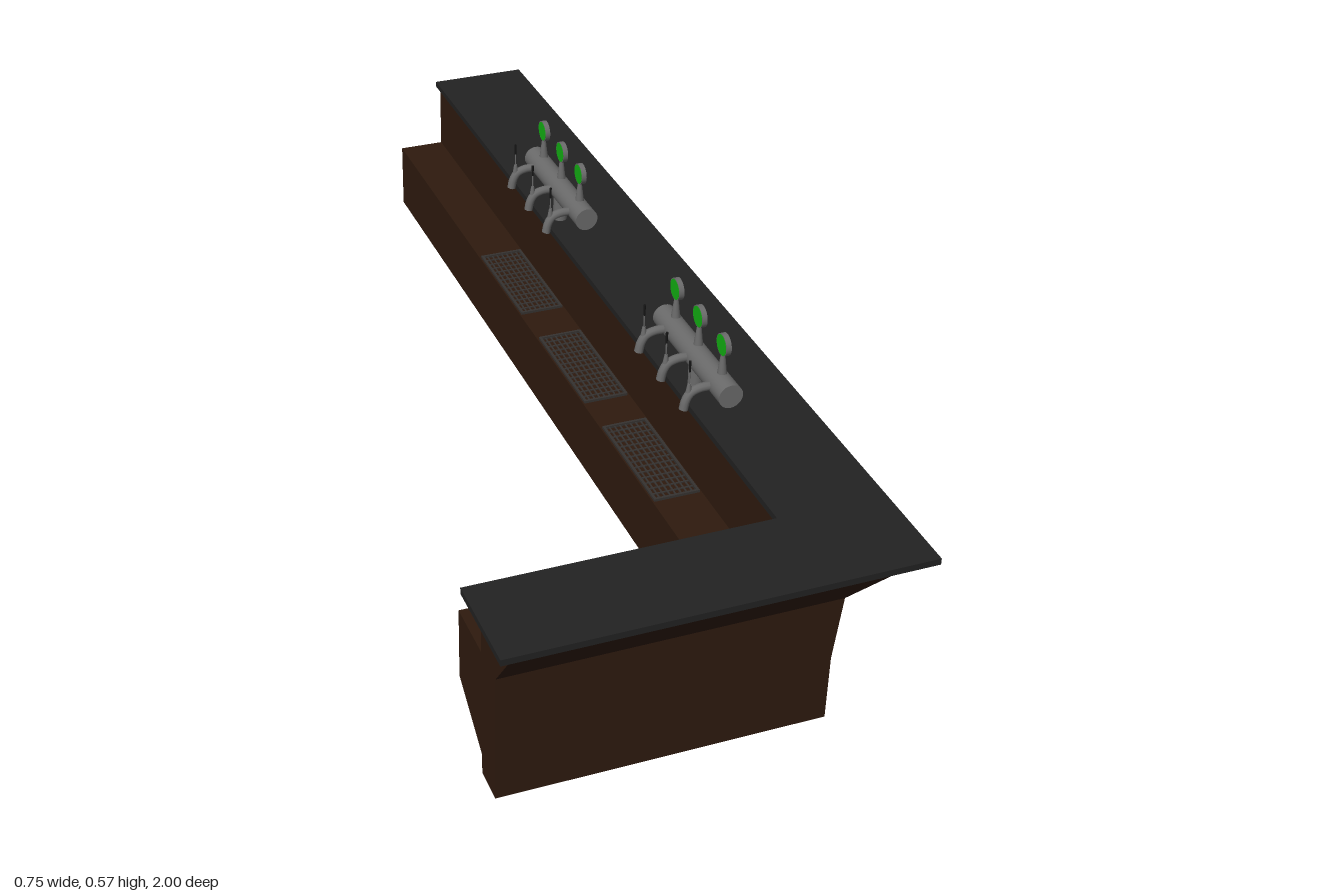
import * as THREE from 'three';

const material = (color, side = THREE.FrontSide) => new THREE.MeshStandardMaterial({ color, side });

function add(parent, name, geometry, mat, x = 0, y = 0, z = 0) {
  const mesh = new THREE.Mesh(geometry, mat);
  mesh.name = name;
  mesh.position.set(x, y, z);
  parent.add(mesh);
  return mesh;
}

// Bar body: one profile swept along an L with a mitred corner.
// Each profile point is [x on the long arm, y, z on the short arm].
function bodyGeometry() {
  const profile = [
    [0.262, 0, 0.876], [0.263, 0.13, 0.877], [0.277, 0.258, 0.88], [0.362, 0.388, 0.98],
    [0.175, 0.388, 0.81], [0.175, 0.26, 0.81], [0.08, 0.26, 0.695], [0.08, 0.12, 0.695],
    [0.175, 0.04, 0.81], [0.175, 0, 0.81],
  ];
  const stations = [
    profile.map(([x, y]) => [x, y, -0.97]),
    profile.map(([x, y, z]) => [x, y, z]),
    profile.map(([, y, z]) => [-0.343, y, z]),
  ];
  const pos = [];
  for (let s = 0; s < 2; s++) {
    profile.forEach((_, i) => {
      const j = (i + 1) % profile.length;
      const a = stations[s][i], b = stations[s][j], c = stations[s + 1][j], d = stations[s + 1][i];
      pos.push(...a, ...b, ...c, ...a, ...c, ...d);
    });
  }
  // End caps
  const outline = profile.map(([x, y]) => new THREE.Vector2(x, y));
  for (const [a, b, c] of THREE.ShapeUtils.triangulateShape(outline, [])) {
    pos.push(...stations[0][c], ...stations[0][b], ...stations[0][a]);
    pos.push(...stations[2][a], ...stations[2][b], ...stations[2][c]);
  }
  const geometry = new THREE.BufferGeometry();
  geometry.setAttribute('position', new THREE.Float32BufferAttribute(pos, 3));
  geometry.computeVertexNormals();
  return geometry;
}

function countertopGeometry() {
  const shape = new THREE.Shape([
    [-0.377, 0.81], [0.175, 0.81], [0.175, -1], [0.377, -1], [0.377, 1], [-0.377, 1],
  ].map(([x, z]) => new THREE.Vector2(x, z)));
  return new THREE.ExtrudeGeometry(shape, { depth: 0.012, bevelEnabled: false }).rotateX(Math.PI / 2);
}

// Drip tray: rim and open grille, long side along z
function dripTray(mats) {
  const tray = new THREE.Group();
  tray.name = 'dripTray';
  const w = 0.088, l = 0.25, rim = 0.005;
  for (const s of [-1, 1]) {
    add(tray, 'trayRimSide', new THREE.BoxGeometry(rim, 0.005, l), mats.tray, s * (w - rim) / 2, 0.0025);
    add(tray, 'trayRimEnd', new THREE.BoxGeometry(w, 0.005, rim), mats.tray, 0, 0.0025, s * (l - rim) / 2);
  }
  const long = new THREE.BoxGeometry(0.003, 0.002, l - rim);
  const cross = new THREE.BoxGeometry(w - rim, 0.002, 0.003);
  for (let i = -3; i <= 3; i++) add(tray, 'grilleLongBar', long, mats.tray, i * 0.0105, 0.002);
  for (let i = -6; i <= 6; i++) add(tray, 'grilleCrossBar', cross, mats.tray, 0, 0.002, i * 0.0175);
  return tray;
}

// One tap: spout, lever and round badge; origin on the axis of the pipe
function tap(mats) {
  const g = new THREE.Group();
  g.name = 'tap';
  const path = new THREE.CatmullRomCurve3([
    [-0.015, 0], [-0.04, 0], [-0.056, -0.006], [-0.065, -0.02], [-0.069, -0.038],
  ].map(([x, y]) => new THREE.Vector3(x, y, 0)));
  add(g, 'spout', new THREE.TubeGeometry(path, 14, 0.0085, 10), mats.steel);
  add(g, 'spoutEnd', new THREE.CircleGeometry(0.0085, 10).rotateX(Math.PI / 2).rotateZ(-0.22),
    mats.steel, -0.069, -0.038);
  add(g, 'leverBase', new THREE.CylinderGeometry(0.003, 0.006, 0.018, 10), mats.steel, -0.06, 0.004);
  add(g, 'leverRod', new THREE.CylinderGeometry(0.0015, 0.0015, 0.034, 8), mats.steel, -0.06, 0.026);
  add(g, 'leverGrip', new THREE.CylinderGeometry(0.0025, 0.0018, 0.022, 8), mats.grip, -0.06, 0.048);
  add(g, 'badgeStem', new THREE.CylinderGeometry(0.0035, 0.009, 0.045, 12), mats.steel, 0.002, 0.042);
  add(g, 'badgeRim', new THREE.CylinderGeometry(0.021, 0.021, 0.01, 24).rotateZ(Math.PI / 2),
    mats.steel, 0.003, 0.08);
  add(g, 'badgeFace', new THREE.CylinderGeometry(0.0195, 0.0195, 0.011, 24).rotateZ(Math.PI / 2),
    mats.green, 0.003, 0.08);
  return g;
}

// Tap tower: post, horizontal pipe and three taps
function tapTower(mats) {
  const tower = new THREE.Group();
  tower.name = 'tapTower';
  add(tower, 'towerPost', new THREE.CylinderGeometry(0.014, 0.014, 0.082, 20), mats.steel, 0, -0.041);
  add(tower, 'towerPipe', new THREE.CylinderGeometry(0.023, 0.023, 0.294, 24).rotateX(Math.PI / 2), mats.steel);
  for (const z of [-0.102, 0, 0.102]) {
    const t = tap(mats);
    t.position.z = z;
    tower.add(t);
  }
  return tower;
}

export function createModel() {
  const model = new THREE.Group();
  model.name = 'barCounter';
  const mats = {
    wood: material(0x2e1a0e),
    top: material(0x222222),
    tray: material(0x353230),
    steel: material(0x6a6a6a, THREE.DoubleSide),
    grip: material(0x151515),
    green: material(0x12b012),
  };

  add(model, 'barBody', bodyGeometry(), mats.wood);
  add(model, 'countertop', countertopGeometry(), mats.top, 0, 0.4, 0);

  for (const z of [0.398, -0.288]) {
    const tower = tapTower(mats);
    tower.position.set(0.209, 0.47, z);
    model.add(tower);
  }

  // Three trays on the long ledge, one on the short ledge
  for (const [x, z, turn] of [[0.127, -0.295, 0], [0.127, 0.055, 0], [0.127, 0.395, 0], [-0.132, 0.75, 1]]) {
    const tray = dripTray(mats);
    tray.position.set(x, 0.26, z);
    tray.rotation.y = turn * Math.PI / 2;
    model.add(tray);
  }
  return model;
}
